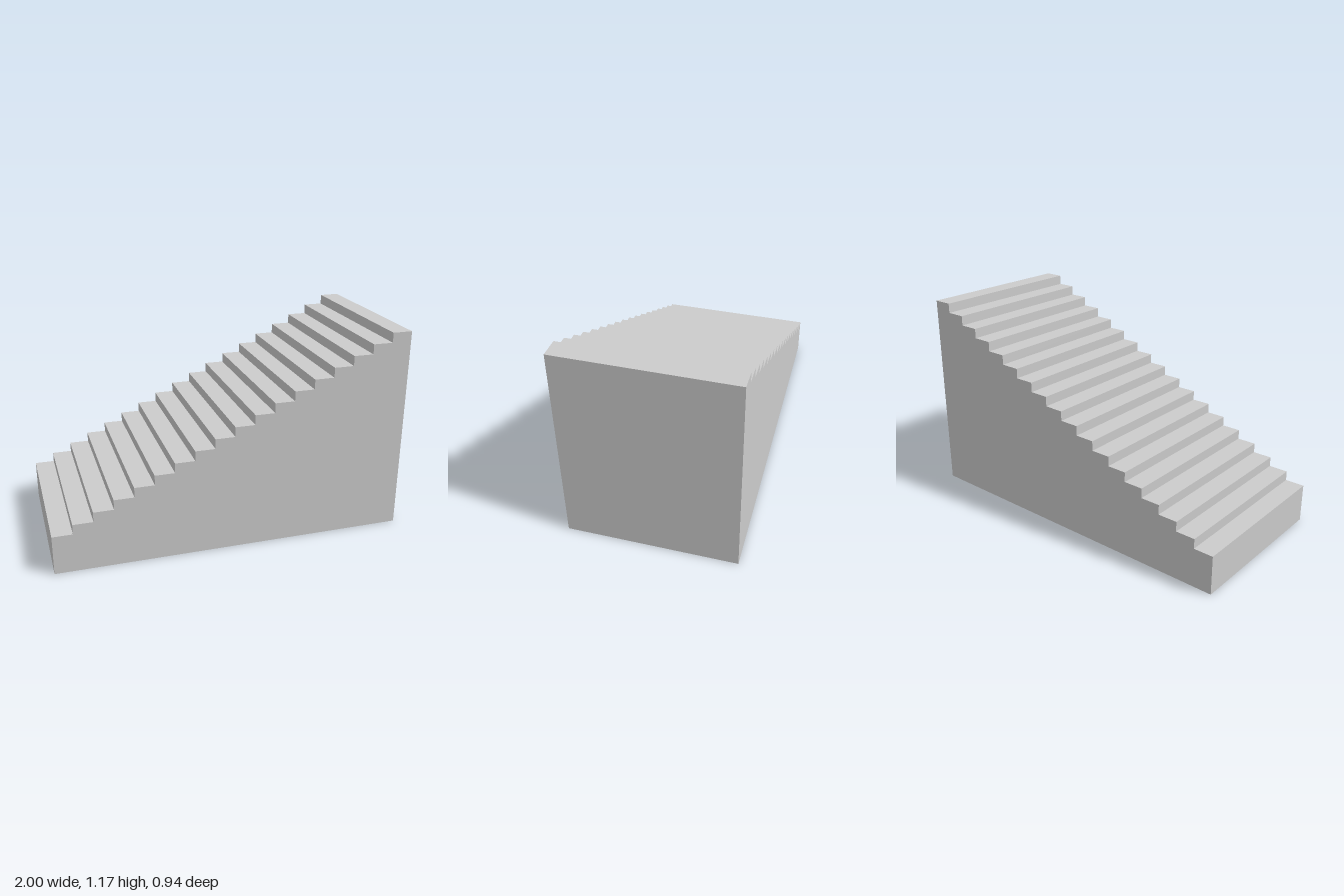
import * as THREE from 'three';

const STEPS = 18;
const RUN = 2 / STEPS;
const RISE = RUN / 2;
const FIRST_HEIGHT = 4 * RISE;
const WIDTH = 0.944;

export function createModel() {
  const group = new THREE.Group();
  group.name = 'staircase';

  // Stepped side profile, climbing towards +x
  const profile = new THREE.Shape();
  profile.moveTo(-1, 0);
  profile.lineTo(1, 0);
  for (let i = STEPS - 1; i >= 0; i--) {
    const x = -1 + i * RUN;
    const y = FIRST_HEIGHT + i * RISE;
    profile.lineTo(x + RUN, y);
    profile.lineTo(x, y);
  }
  profile.closePath();

  // Solid flight of steps, extruded across its width
  const geometry = new THREE.ExtrudeGeometry(profile, { depth: WIDTH, bevelEnabled: false });
  geometry.translate(0, 0, -WIDTH / 2);
  const material = new THREE.MeshStandardMaterial({ color: 0xcccccc, flatShading: true });
  const stairs = new THREE.Mesh(geometry, material);
  stairs.name = 'solidSteps';
  group.add(stairs);

  return group;
}
